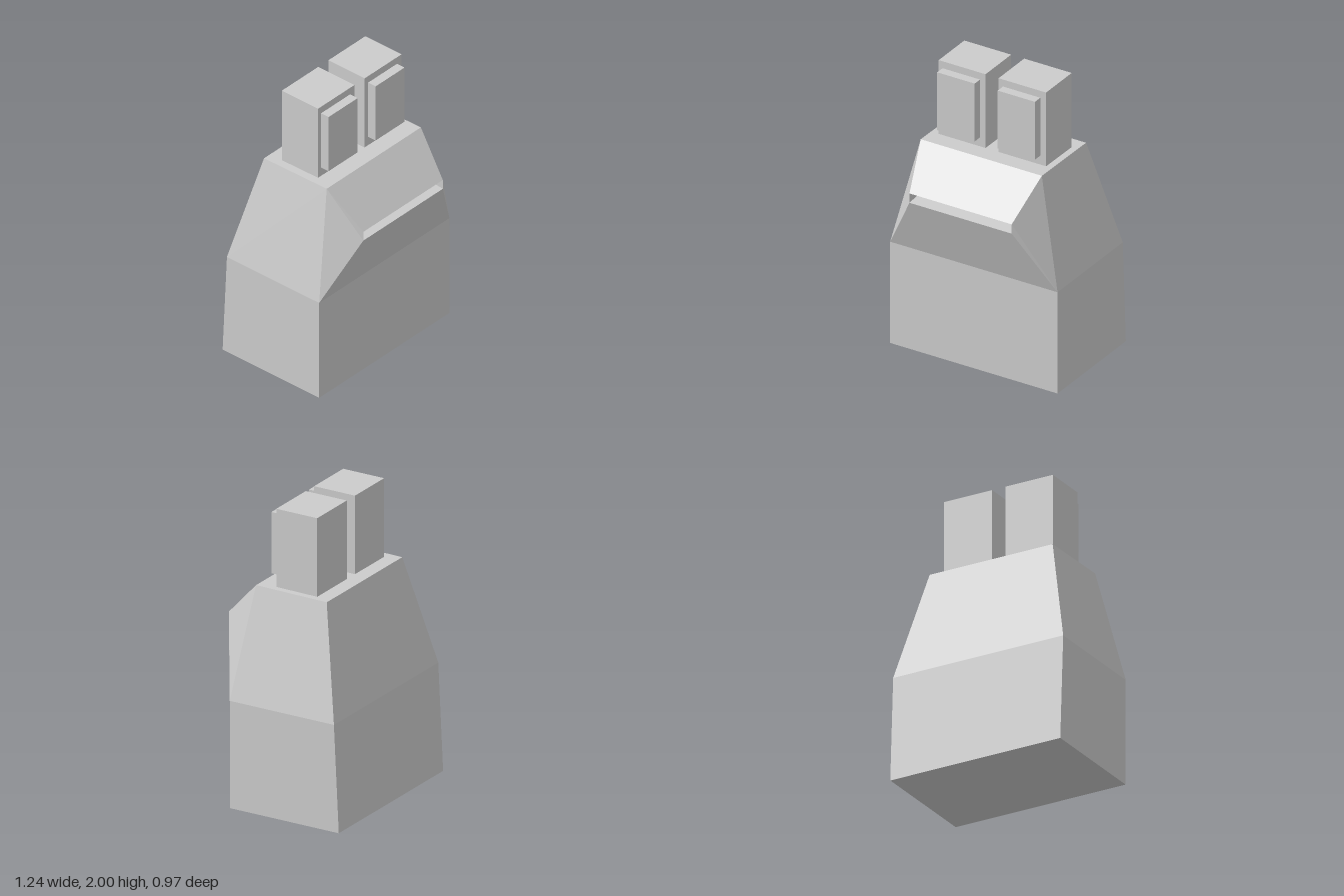
import * as THREE from 'three';

const material = new THREE.MeshStandardMaterial({ color: 0xcccccc, flatShading: true });

// Flat polygons (convex, counter-clockwise from outside) fanned into triangles.
function facets(name, polygons) {
  const pos = [];
  for (const p of polygons)
    for (let i = 1; i < p.length - 1; i++) pos.push(...p[0], ...p[i], ...p[i + 1]);
  const g = new THREE.BufferGeometry();
  g.setAttribute('position', new THREE.Float32BufferAttribute(pos, 3));
  g.computeVertexNormals();
  const m = new THREE.Mesh(g, material);
  m.name = name;
  return m;
}

// Box given by its minimum and maximum corners.
function box(name, a, b) {
  const m = new THREE.Mesh(new THREE.BoxGeometry(b[0] - a[0], b[1] - a[1], b[2] - a[2]), material);
  m.position.set((a[0] + b[0]) / 2, (a[1] + b[1]) / 2, (a[2] + b[2]) / 2);
  m.name = name;
  return m;
}

// Left and right copies of a corner, and the strip joining two such pairs.
const pair = (x, y, z) => [[-x, y, z], [x, y, z]];
const strip = (low, high) => [low[0], low[1], high[1], high[0]];
const mirror = (poly) => poly.map(([x, y, z]) => [-x, y, z]).reverse();

export function createModel() {
  const model = new THREE.Group();

  // Cross-section corners running round the body
  const baseFront = pair(0.622, 0, 0.325), baseBack = pair(0.622, 0, -0.483);
  const waistFront = pair(0.622, 0.727, 0.325), waistBack = pair(0.622, 0.727, -0.447);
  const topFront = pair(0.45, 1.472, 0.237), topBack = pair(0.45, 1.466, -0.287);
  const lipLow = pair(0.38, 1.15, 0.482), lipHigh = pair(0.38, 1.217, 0.482);
  const slotLow = pair(0.38, 1.17, 0.28), slotHigh = pair(0.38, 1.2, 0.28);

  // Lower block
  const baseSide = [baseFront[1], baseBack[1], waistBack[1], waistFront[1]];
  model.add(facets('base', [
    strip(baseFront, waistFront), strip(waistBack, baseBack), strip(baseBack, baseFront),
    baseSide, mirror(baseSide),
  ]));

  // Tapered shoulders
  const shoulder = [waistFront[1], waistBack[1], topBack[1], topFront[1]];
  model.add(facets('shoulders', [
    strip(topBack, waistBack), strip(topFront, topBack), shoulder, mirror(shoulder),
  ]));

  // Projecting snout with its cheeks
  const cheek = [waistFront[1], topFront[1], lipHigh[1], lipLow[1]];
  model.add(facets('snout', [
    strip(waistFront, lipLow), strip(lipHigh, topFront), cheek, mirror(cheek),
  ]));

  // Narrowing slot cut into the snout
  const slotEnd = [lipLow[1], lipHigh[1], slotHigh[1], slotLow[1]];
  model.add(facets('slot', [
    strip(lipLow, slotLow), strip(slotLow, slotHigh), strip(slotHigh, lipHigh),
    slotEnd, mirror(slotEnd),
  ]));

  // Two upright blocks, each with a raised front plate
  for (const [side, x0, x1, p0, p1] of [
    ['right', -0.393, -0.045, -0.365, -0.086],
    ['left', 0.052, 0.405, 0.085, 0.362],
  ]) {
    model.add(box(side + 'Block', [x0, 1.465, -0.188], [x1, 2, 0.115]));
    model.add(box(side + 'Plate', [p0, 1.535, 0.115], [p1, 1.95, 0.178]));
  }
  return model;
}
